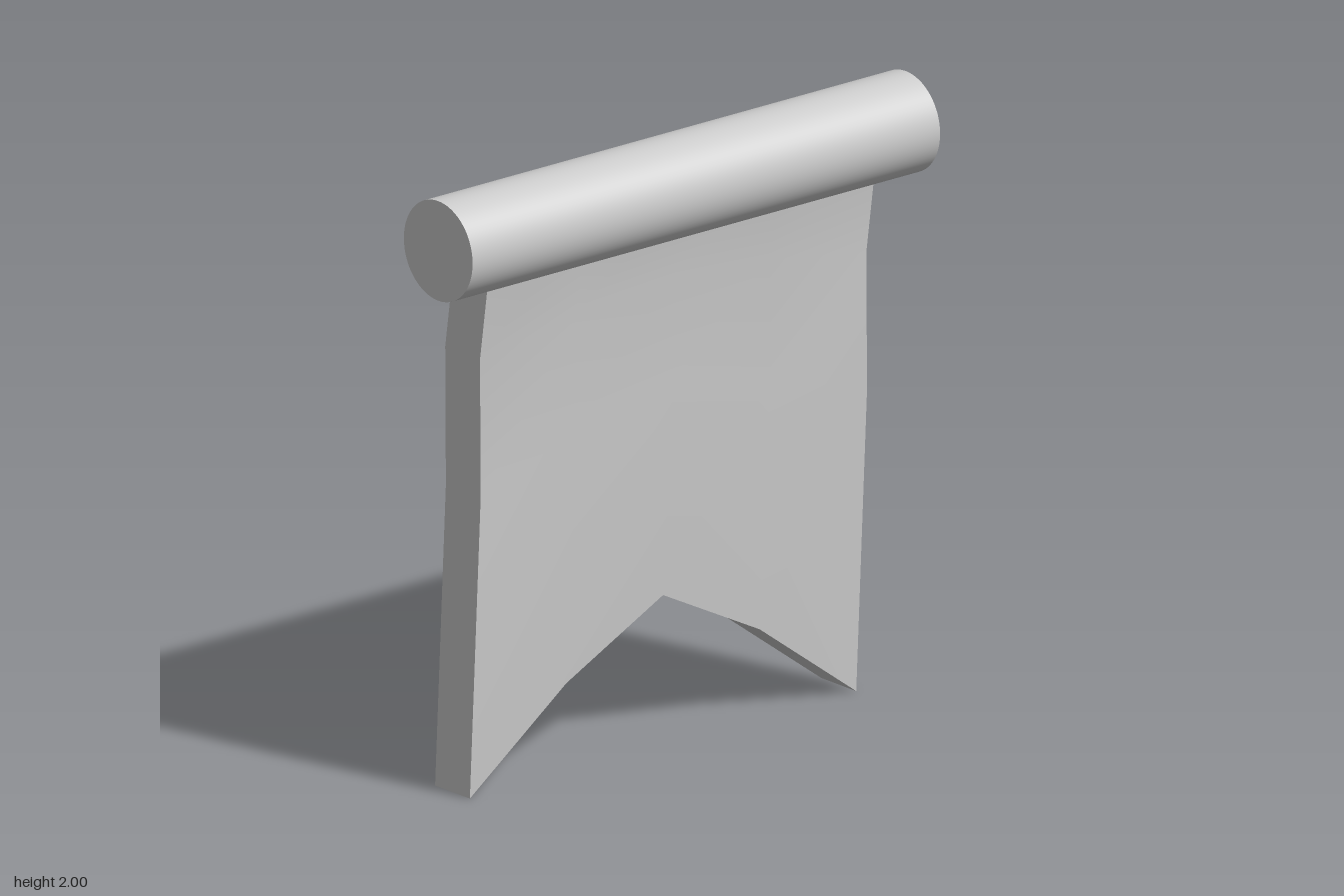
import * as THREE from 'three';

export function createModel() {
  const group = new THREE.Group();
  const material = new THREE.MeshStandardMaterial({ color: 0xcccccc });

  // Round pole along z
  const poleGeometry = new THREE.CylinderGeometry(0.163, 0.163, 1.912, 64);
  poleGeometry.rotateX(Math.PI / 2);
  const pole = new THREE.Mesh(poleGeometry, material);
  pole.name = 'pole';
  pole.position.set(0.016, 1.837, 0);
  group.add(pole);

  // Thick cloth: a box grid bent row by row, its hem notched column by column
  const top = 1.84;
  const rows = [[0, 0.002], [0.212, -0.055], [0.458, -0.052], [1, -0.103]]; // [drop fraction, x]
  const hem = [0, 0.29, 0.49, 0.29, 0];
  const clothGeometry = new THREE.BoxGeometry(0.165, 3, 4, 1, 3, 4);
  const p = clothGeometry.attributes.position;
  for (let i = 0; i < p.count; i++) {
    const [drop, x] = rows[Math.round(1.5 - p.getY(i))];
    const column = Math.round(p.getZ(i) + 2);
    const y = top - drop * (top - hem[column]);
    p.setXYZ(i, p.getX(i) + x, y, 0.005 + (column - 2) * 0.395);
  }
  clothGeometry.computeVertexNormals();
  const cloth = new THREE.Mesh(clothGeometry, material);
  cloth.name = 'bannerCloth';
  group.add(cloth);

  return group;
}
